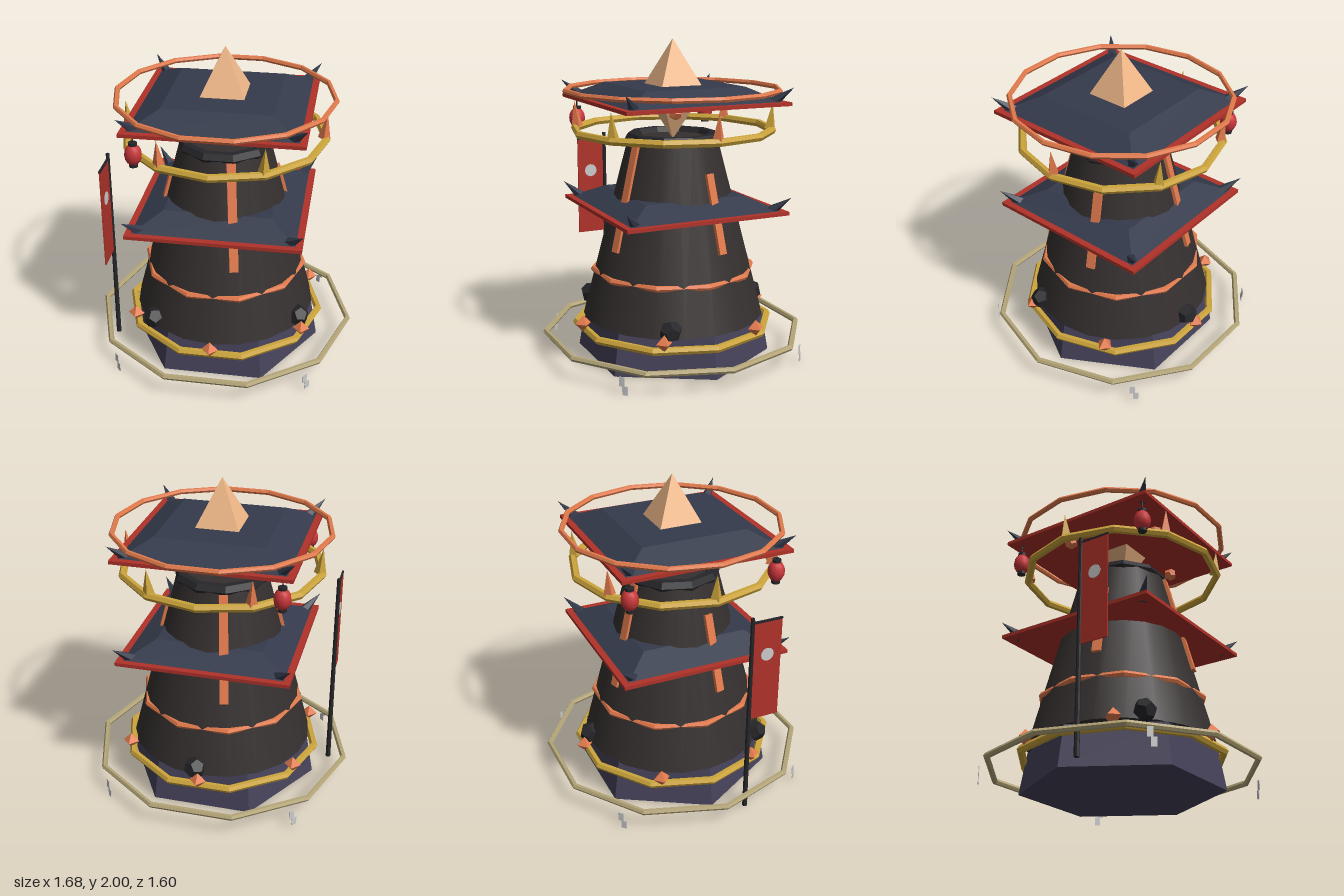
import * as THREE from 'three';

const material = (color, flat = true) =>
  new THREE.MeshStandardMaterial({ color, flatShading: flat, side: THREE.DoubleSide });
const MAT = {
  rock: material(0x35302f, false), dark: material(0x26262a), stone: material(0x46425a),
  roof: material(0x343a4b), red: material(0xb03229), orange: material(0xe27a4c),
  gold: material(0xcda53c), khaki: material(0xb5a678), crystal: material(0xf0b888),
  lantern: material(0xc8363a, false), grey: material(0xcccccc),
};

function part(parent, name, geometry, mat, x = 0, y = 0, z = 0) {
  const mesh = new THREE.Mesh(geometry, mat);
  mesh.name = name;
  mesh.position.set(x, y, z);
  parent.add(mesh);
  return mesh;
}

// Horizontal faceted ring with a corner on +x
function ring(parent, name, radius, tube, sides, mat, y) {
  const g = new THREE.TorusGeometry(radius, tube, 6, sides).rotateX(Math.PI / 2);
  return part(parent, name, g, mat, 0, y, 0);
}

// Calls fn with x, z and the angle for evenly spread places on a circle
function around(count, radius, start, fn) {
  for (let i = 0; i < count; i++) {
    const a = start + (i / count) * Math.PI * 2;
    fn(radius * Math.cos(a), radius * Math.sin(a), a, i);
  }
}

// Square roof: red eave board, sloped top and four corner horns
function roof(parent, name, y) {
  const g = new THREE.Group();
  g.name = name;
  g.position.y = y;
  part(g, 'eaveBoard', new THREE.BoxGeometry(1.07, 0.022, 1.07), MAT.red, 0, 0.011, 0);
  const slope = new THREE.CylinderGeometry(0.33 * Math.SQRT2, 0.495 * Math.SQRT2, 0.083, 4);
  part(g, 'roofSlope', slope.rotateY(Math.PI / 4), MAT.roof, 0, 0.0635, 0);
  around(4, 0.7, Math.PI / 4, (x, z) => {
    const horn = part(g, 'cornerHorn', new THREE.ConeGeometry(0.036, 0.16, 5), MAT.roof, x, 0.064, z);
    const dir = new THREE.Vector3(x, 0.5, z).normalize();
    horn.quaternion.setFromUnitVectors(new THREE.Vector3(0, 1, 0), dir);
  });
  parent.add(g);
}

function lantern(parent, x, z) {
  const g = new THREE.Group();
  g.name = 'lantern';
  g.position.set(x, 1.48, z);
  const body = new THREE.SphereGeometry(0.052, 12, 8).scale(1, 1.3, 1);
  part(g, 'lanternBody', body, MAT.lantern);
  for (const s of [-1, 1])
    part(g, 'lanternCap', new THREE.CylinderGeometry(0.027, 0.027, 0.018, 8), MAT.dark, 0, s * 0.068, 0);
  part(g, 'lanternCord', new THREE.CylinderGeometry(0.004, 0.004, 0.07, 5), MAT.dark, 0, 0.105, 0);
  parent.add(g);
}

export function createModel() {
  const model = new THREE.Group();
  model.name = 'tower';

  // Hexagonal plinth and tapering tower
  part(model, 'plinth', new THREE.CylinderGeometry(0.575, 0.62, 0.26, 6).rotateY(Math.PI / 6),
    MAT.stone, 0, 0.13, 0);
  part(model, 'towerBody', new THREE.CylinderGeometry(0.282, 0.578, 1.13, 20), MAT.rock, 0, 0.825, 0);
  ring(model, 'craterRim', 0.26, 0.042, 10, MAT.dark, 1.385);

  // Glowing band and four sloping streaks
  ring(model, 'glowBand', 0.508, 0.02, 10, MAT.orange, 0.55);
  around(4, 1, THREE.MathUtils.degToRad(74.5), (cx, cz, a, i) => {
    const top = i % 2 ? 1.2 : 1.37;
    const at = (y) => new THREE.Vector3(cx, 0, cz)
      .multiplyScalar(0.578 - (y - 0.26) * 0.262).setY(y);
    const lo = at(0.72), hi = at(top);
    const pivot = new THREE.Group();
    pivot.name = 'glowStreak';
    pivot.position.copy(lo).add(hi).multiplyScalar(0.5);
    pivot.rotation.y = Math.PI / 2 - a;
    const streak = part(pivot, 'streakBar',
      new THREE.BoxGeometry(0.055, lo.distanceTo(hi), 0.03), MAT.orange);
    streak.rotation.x = -Math.atan(0.262);
    model.add(pivot);
  });

  // Roofs and the crystal through the top one
  roof(model, 'middleRoof', 0.943);
  roof(model, 'topRoof', 1.613);
  const crystal = new THREE.OctahedronGeometry(0.208).rotateY(Math.PI / 4).scale(1, 1.5, 1);
  part(model, 'crystal', crystal, MAT.crystal, 0, 1.688, 0);

  // Rings
  ring(model, 'outerRing', 0.822, 0.019, 10, MAT.khaki, 0.14);
  ring(model, 'lowerRing', 0.623, 0.025, 10, MAT.gold, 0.2);
  ring(model, 'upperRing', 0.62, 0.025, 12, MAT.gold, 1.44);
  ring(model, 'topRing', 0.668, 0.017, 14, MAT.orange, 1.69);

  // Spikes on the upper ring, gems on the lower one
  around(6, 0.612, 0, (x, z, a, i) => {
    const spike = part(model, 'ringSpike', new THREE.ConeGeometry(0.038, 0.16, 4),
      i % 2 ? MAT.gold : MAT.orange, x, 1.53, z);
    spike.rotation.set(0.1 * Math.sin(a), 0, -0.1 * Math.cos(a));
  });
  around(6, 0.62, Math.PI / 6, (x, z) =>
    part(model, 'ringGem', new THREE.OctahedronGeometry(0.053), MAT.orange, x, 0.253, z));

  // Embers under the top roof
  around(4, 0.39, THREE.MathUtils.degToRad(23), (x, z, a, i) =>
    part(model, 'ember', new THREE.DodecahedronGeometry(0.043), MAT.orange, x, i % 2 ? 1.605 : 1.588, z));

  // Boulders
  for (const [x, z, spin] of [[0.51, 0.255, 0.4], [-0.39, 0.42, 1.3], [0.03, -0.57, 2.1]])
    part(model, 'boulder', new THREE.DodecahedronGeometry(0.07), MAT.dark, x, 0.31, z)
      .rotation.set(spin, spin * 2, 0);

  // Lanterns
  for (const z of [-0.465, 0.465]) lantern(model, -0.465, z);

  // Banner on its pole
  const banner = new THREE.Group();
  banner.name = 'banner';
  banner.position.set(-0.7, 0, 0.19);
  part(banner, 'pole', new THREE.CylinderGeometry(0.012, 0.016, 1.335, 8), MAT.dark, 0, 0.6675, 0);
  part(banner, 'crossbar', new THREE.BoxGeometry(0.012, 0.012, 0.2), MAT.dark, 0, 1.302, 0.095);
  part(banner, 'cloth', new THREE.BoxGeometry(0.008, 0.65, 0.18), MAT.red, 0, 0.975, 0.103);
  part(banner, 'clothDisc', new THREE.CylinderGeometry(0.042, 0.042, 0.014, 16).rotateZ(Math.PI / 2),
    MAT.grey, 0, 1.08, 0.103);
  model.add(banner);

  // Paper charms hanging at the outer ring
  around(4, 0.845, Math.PI / 4, (x, z, a) => {
    const charm = new THREE.Group();
    charm.name = 'paperCharm';
    charm.position.set(x, 0, z);
    charm.rotation.y = Math.PI / 2 - a;
    part(charm, 'upperStrip', new THREE.BoxGeometry(0.034, 0.058, 0.004), MAT.grey, -0.01, 0.09, 0);
    part(charm, 'lowerStrip', new THREE.BoxGeometry(0.034, 0.054, 0.004), MAT.grey, 0.01, 0.036, 0);
    model.add(charm);
  });

  return model;
}
